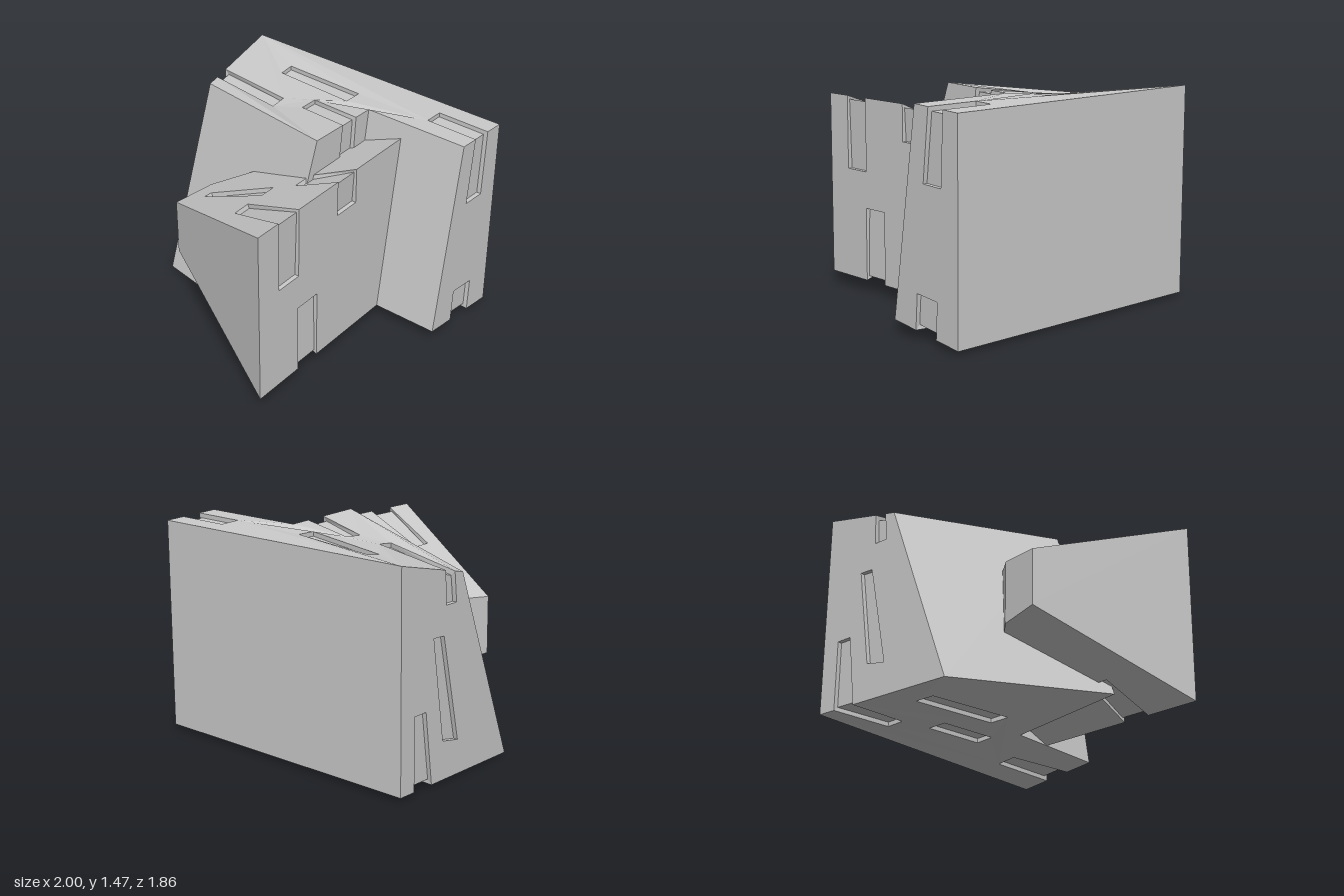
import * as THREE from 'three';

const V = (x, y, z) => new THREE.Vector3(x, y, z);
const DEPTH = 0.03;
const UP = V(0, 1, 0), DOWN = V(0, -1, 0), PX = V(1, 0, 0), NX = V(-1, 0, 0);
const W_UP = V(-0.37, 0.93, 0), W_DOWN = V(-0.37, -0.93, 0);

// Surface rules: gently warped top and bottom, tapering sides, sloped wedge
const lerp = THREE.MathUtils.lerp;
const across = x => THREE.MathUtils.clamp((x + 1) / 1.25, 0, 1);
const top = (x, z) => V(x, 1.445 + (z + 0.93) * lerp(-0.24, 0.037, across(x)), z);
const bottom = (x, z) => V(x, 0.037 + (z + 0.93) * lerp(-0.025, 0.102, across(x)), z);
const leftX = z => -1 + 0.03 * (z + 0.93);
const rightX = z => 1 - 0.03 * (z + 0.93);
const left = (y, z) => V(leftX(z), y, z);
const right = (y, z) => V(rightX(z), y, z);
const INNER = 0.245, SIDE = 0.52;
const wedgeTop = (x, z) => V(x, 1.35 - 0.398 * (SIDE - x), z);
const wedgeBottom = (x, z) => V(x, 0.1 + 0.398 * (SIDE - x), z);

// A channel that folds over an edge: returns its half on each of two faces
function wrap(e0, e1, a0, a1, nA, b0, b1, nB) {
  const a = [e0, a0, a1, e1], b = [e0, b0, b1, e1];
  a.fold = nB;
  b.fold = nA;
  return [a, b];
}

// Collects flat panels with sunken slots into one mesh
class Builder {
  constructor() { this.pos = []; }

  tri(a, b, c, out) {
    const n = b.clone().sub(a).cross(c.clone().sub(a));
    for (const p of n.dot(out) < 0 ? [a, c, b] : [a, b, c]) this.pos.push(p.x, p.y, p.z);
  }

  fill(loop, holes, n) {
    const [ax, ay, az] = [Math.abs(n.x), Math.abs(n.y), Math.abs(n.z)];
    const flat = p => ax >= ay && ax >= az ? new THREE.Vector2(p.z, p.y)
      : ay >= az ? new THREE.Vector2(p.x, p.z) : new THREE.Vector2(p.x, p.y);
    const all = [...loop, ...holes.flat()];
    const faces = THREE.ShapeUtils.triangulateShape(loop.map(flat), holes.map(h => h.map(flat)));
    for (const [i, j, k] of faces) this.tri(all[i], all[j], all[k], n);
  }

  // Slot floor and walls; folded slots stay open at the shared edge
  recess(rim, n) {
    const floor = rim.map((p, i) => {
      const q = p.clone().addScaledVector(n, -DEPTH);
      return rim.fold && (i === 0 || i === 3) ? q.addScaledVector(rim.fold, -DEPTH) : q;
    });
    this.fill(floor, [], n);
    const mid = rim.reduce((s, p) => s.add(p), V(0, 0, 0)).divideScalar(4);
    for (let i = 0; i < (rim.fold ? 3 : 4); i++) {
      const j = (i + 1) % 4;
      const out = mid.clone().sub(rim[i].clone().add(rim[j]).multiplyScalar(0.5));
      this.tri(rim[i], rim[j], floor[j], out);
      this.tri(rim[i], floor[j], floor[i], out);
    }
  }

  // Loop entries are corners, or folded slots that notch the outline
  panel(n, items, slots = []) {
    const loop = [];
    for (const it of items) {
      if (!Array.isArray(it)) { loop.push(it); continue; }
      const prev = loop[loop.length - 1];
      const flip = prev.distanceTo(it[0]) > prev.distanceTo(it[3]);
      loop.push(...(flip ? [...it].reverse() : it));
      this.recess(it, n);
    }
    this.fill(loop, slots, n);
    for (const s of slots) this.recess(s, n);
  }

  mesh(name) {
    const g = new THREE.BufferGeometry();
    g.setAttribute('position', new THREE.Float32BufferAttribute(this.pos, 3));
    g.computeVertexNormals();
    const m = new THREE.Mesh(g, new THREE.MeshStandardMaterial({ color: 0xcccccc, flatShading: true }));
    m.name = name;
    return m;
  }
}

const quad = (f, ...pts) => pts.map(([a, b]) => f(a, b));

function buildBody() {
  const b = new Builder();
  // Corners, top then bottom
  const A = top(-1, -0.93), B = top(leftX(-0.34), -0.34), C = top(INNER, 0.02),
    D = top(INNER, -0.53), E = top(rightX(-0.53), -0.53), F = top(1, -0.93);
  const a = bottom(-1, -0.93), bb = bottom(leftX(0.15), 0.15), c = bottom(INNER, 0.49),
    d = bottom(INNER, -0.32), e = bottom(rightX(-0.32), -0.32), f = bottom(1, -0.93);

  // Channels folded over the edges
  const [tl, lt] = wrap(top(leftX(-0.51), -0.51), top(leftX(-0.42), -0.42),
    top(-0.36, -0.385), top(-0.36, -0.275), UP, left(1.13, -0.5), left(1.13, -0.4), NX);
  const [ti, it] = wrap(top(INNER, -0.39), top(INNER, -0.25),
    top(-0.15, -0.46), top(-0.16, -0.34), UP, V(INNER, 1.05, -0.36), V(INNER, 1.05, -0.2), PX);
  const [tr, rt] = wrap(top(rightX(-0.795), -0.795), top(rightX(-0.66), -0.66),
    top(0.62, -0.8), top(0.62, -0.665), UP, right(0.985, -0.775), right(0.99, -0.61), PX);
  const [br, rb] = wrap(bottom(rightX(-0.725), -0.725), bottom(rightX(-0.53), -0.53),
    bottom(0.49, -0.74), bottom(0.49, -0.6), DOWN, right(0.295, -0.735), right(0.31, -0.545), PX);
  const [bl, lb] = wrap(bottom(leftX(-0.8), -0.8), bottom(leftX(-0.63), -0.63),
    bottom(-0.56, -0.76), bottom(-0.56, -0.63), DOWN, left(0.51, -0.8), left(0.51, -0.69), NX);

  b.panel(UP, [A, tl, B, C, ti, D, E, tr, F],
    [quad(top, [-0.575, -0.735], [0.05, -0.68], [0.045, -0.555], [-0.58, -0.64])]);
  b.panel(DOWN, [a, bl, bb, c, d, e, br, f], [
    quad(bottom, [0.1, -0.58], [-0.34, -0.6], [-0.33, -0.47], [0.11, -0.46]),
    quad(bottom, [-0.09, -0.28], [-0.76, -0.3], [-0.75, -0.16], [-0.07, -0.15])]);
  b.panel(NX, [A, lt, B, bb, lb, a],
    [quad(left, [0.95, -0.62], [0.945, -0.52], [0.25, -0.37], [0.28, -0.52])]);
  b.panel(PX, [E, rt, F, f, rb, e]);
  b.panel(PX, [C, it, D, d, c]);
  b.panel(V(0, 0, -1), [A, F, f, a]);
  b.panel(V(-0.25, 0.3, 0.9), [B, C, c, bb]);
  b.panel(V(0, 0.15, 1), [D, E, e, d]);
  return b.mesh('mainBody');
}

function buildWedge() {
  const b = new Builder();
  // Plan outline; the last two corners are buried in the body
  const plan = [[SIDE, 0.93], [-0.56, 0.49], [-0.5, 0.21], [-0.29, -0.01], [0, -0.6], [SIDE, -0.6]];
  const T = quad(wedgeTop, ...plan), B = quad(wedgeBottom, ...plan);
  const side = (y, z) => V(SIDE, y, z);

  const [t1, s1] = wrap(side(1.35, 0.74), side(1.35, 0.545),
    wedgeTop(0.07, 0.62), wedgeTop(0.065, 0.49), W_UP, side(0.85, 0.74), side(0.85, 0.545), PX);
  const [t2, s2] = wrap(side(1.35, 0.155), side(1.35, -0.035),
    wedgeTop(0.225, 0.215), wedgeTop(0.225, 0.06), W_UP, side(1.1, 0.155), side(1.1, -0.035), PX);
  const [b3, s3] = wrap(side(0.1, 0.55), side(0.1, 0.355),
    wedgeBottom(0.15, 0.5), wedgeBottom(0.15, 0.36), W_DOWN, side(0.6, 0.55), side(0.6, 0.355), PX);

  b.panel(W_UP, [...T, t2, t1],
    [quad(wedgeTop, [-0.38, 0.34], [0.07, 0.245], [0.07, 0.365], [-0.39, 0.395])]);
  b.panel(W_DOWN, [...B, b3]);
  b.panel(PX, [T[0], s1, s2, T[5], B[5], s3, B[0]]);
  // Front and left walls
  [V(-0.38, 0, 0.93), V(-0.98, 0, -0.21), V(-0.72, 0, -0.69)].forEach((n, i) =>
    b.panel(n, [T[i], T[i + 1], B[i + 1], B[i]]));
  return b.mesh('frontWedge');
}

export function createModel() {
  const group = new THREE.Group();
  group.name = 'notchedBlock';
  group.add(buildBody(), buildWedge());
  return group;
}
